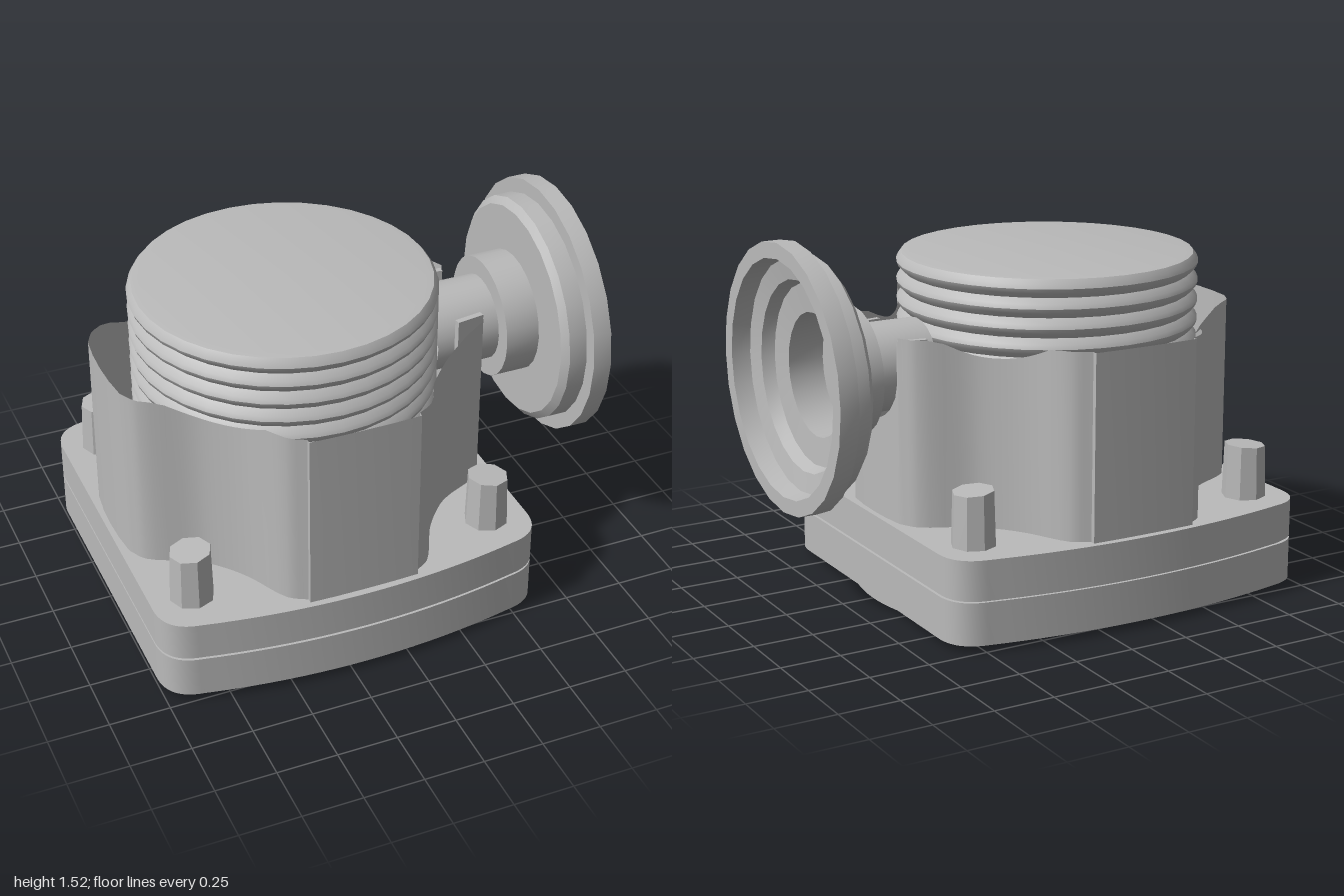
import * as THREE from 'three';
import { toCreasedNormals } from 'three/addons/utils/BufferGeometryUtils.js';

const grey = new THREE.MeshStandardMaterial({ color: 0xbababa, side: THREE.DoubleSide });
grey.name = 'castGrey';

const CX = -0.188; // axis of the housing
const BOLT = [0.64, 0.56]; // bolt offset from that axis

function add(parent, name, geometry, crease = 0.6) {
  const mesh = new THREE.Mesh(toCreasedNormals(geometry, crease), grey);
  mesh.name = name;
  parent.add(mesh);
  return mesh;
}

const lathe = (pts, seg) => new THREE.LatheGeometry(pts.map(p => new THREE.Vector2(...p)), seg);

// Sector of a ring in the plan, used for slots and feet
function arcShape(Type, r0, r1, mid, half) {
  const s = new Type();
  s.absarc(0, 0, r1, mid - half, mid + half, false);
  s.absarc(0, 0, r0, mid + half, mid - half, true);
  s.closePath();
  return s;
}

function extrudeUp(shape, y0, y1) {
  const g = new THREE.ExtrudeGeometry(shape, { depth: y1 - y0, bevelEnabled: false, curveSegments: 20 });
  return g.rotateX(-Math.PI / 2).translate(0, y0, 0);
}

// Square plan with bowed front and back and rounded corners
function plateShape(bore, k = 1) {
  const s = new THREE.Shape();
  const w = 0.812 * k;
  s.moveTo(w, -0.59 * k);
  s.lineTo(w, 0.59 * k);
  s.quadraticCurveTo(w, 0.73 * k, 0.67 * k, 0.75 * k);
  s.quadraticCurveTo(0, 0.89 * k, -0.67 * k, 0.75 * k);
  s.quadraticCurveTo(-w, 0.73 * k, -w, 0.59 * k);
  s.lineTo(-w, -0.59 * k);
  s.quadraticCurveTo(-w, -0.73 * k, -0.67 * k, -0.75 * k);
  s.quadraticCurveTo(0, -0.89 * k, 0.67 * k, -0.75 * k);
  s.quadraticCurveTo(w, -0.73 * k, w, -0.59 * k);
  s.holes.push(new THREE.Path().absarc(0, 0, bore, 0, Math.PI * 2, true));
  return s;
}

// Thin four-lobed wall with scalloped corners, dipping rim and a slot for the pipe
function housingGeometry() {
  const slot = [[0.79, 0], [0.788, 0.06], [0.787, 0.1], [0.782, 0.14], [0.778, 0.18], [0.775, 0.2]];
  const scallop = new THREE.CatmullRomCurve3(
    [[0.775, 0.2], [0.73, 0.275], [0.54, 0.375], [0.45, 0.465], [0.39, 0.55], [0.3, 0.72], [0.23, 0.765]]
      .map(p => new THREE.Vector3(p[0], 0, p[1])));
  const quarter = [
    ...slot.map(p => [...p, true]),
    ...scallop.getPoints(24).map(p => [p.x, p.z, false]),
    [0.23, 0.785, false], [0.12, 0.789, false], [0, 0.79, false],
  ];
  const mirror = (su, sv) => quarter.map(([u, v, s]) => [su * u, sv * v, s && su > 0]);
  const loop = [...mirror(1, 1), ...mirror(-1, 1).reverse(), ...mirror(-1, -1), ...mirror(1, -1).reverse()];
  const pos = [];
  const columns = loop.map(([u, v, inSlot]) => {
    const rim = Math.min(1.135, 1.05 + Math.max(0, Math.hypot(u, v) - 0.62) * 0.75);
    const top = inSlot ? 0.975 - Math.sqrt(Math.max(0, 0.04 - v * v)) : rim;
    return [[u, 0.37, v], [u, top, v]];
  });
  columns.forEach(([a0, a1], i) => {
    const [b0, b1] = columns[(i + 1) % columns.length];
    pos.push(...a0, ...a1, ...b1, ...a0, ...b1, ...b0);
  });
  const g = new THREE.BufferGeometry();
  g.setAttribute('position', new THREE.Float32BufferAttribute(pos, 3));
  g.computeVertexNormals();
  return g;
}

export function createModel() {
  const model = new THREE.Group();
  model.name = 'valveHousing';
  const body = new THREE.Group();
  body.name = 'body';
  body.position.x = CX;
  model.add(body);

  // Base plates with a thin joint between them
  const corners = [[1, 1], [-1, 1], [-1, -1], [1, -1]];
  const lower = plateShape(0.72);
  for (const [sx, sz] of corners) {
    lower.holes.push(new THREE.Path().absarc(sx * BOLT[0], sz * BOLT[1], 0.08, 0, Math.PI * 2, true));
  }
  for (const s of [1, -1]) lower.holes.push(arcShape(THREE.Path, 0.757, 0.785, s * Math.PI / 2, 0.55));
  add(body, 'lowerPlate', extrudeUp(lower, 0.03, 0.205));
  add(body, 'gasket', extrudeUp(plateShape(0.72, 0.985), 0.2, 0.22));
  add(body, 'upperPlate', extrudeUp(plateShape(0.6), 0.215, 0.375));

  // Raised feet along the two sides
  for (const mid of [0, Math.PI]) {
    add(body, 'foot', extrudeUp(arcShape(THREE.Shape, 0.735, 0.8, mid, 0.4), 0.003, 0.05));
  }

  // Stepped bore seen from beneath
  add(body, 'bore', lathe([[0.72, 0.03], [0.705, 0.12], [0.63, 0.12], [0.59, 0.34], [0, 0.34]], 40));

  add(body, 'housingWall', housingGeometry(), 0.5);

  // Cheeks inside the wall on both sides of the pipe
  for (const s of [1, -1]) {
    const cheek = add(body, 'pipeCheek', new THREE.BoxGeometry(0.12, 0.32, 0.025));
    cheek.position.set(0.712, 0.96, s * 0.2);
    cheek.rotation.y = s * 0.15;
  }

  // Ribbed plug
  const ribs = [[0.59, 0.34]];
  for (let i = 0; i < 9; i++) {
    const y = 0.66 + i * 0.08;
    ribs.push([0.59, y], [0.614, y + 0.022], [0.621, y + 0.04], [0.614, y + 0.058]);
  }
  ribs.push([0.6, 1.376], [0.57, 1.38], [0, 1.38]);
  add(body, 'ribbedPlug', lathe(ribs, 36), 0.7).position.x = -0.02;

  // Corner bolts: faceted studs above, hexagon ends below
  for (const [sx, sz] of corners) {
    const stud = new THREE.CylinderGeometry(0.084, 0.091, 0.235, 8);
    const p = stud.attributes.position;
    for (let i = 0; i < p.count; i++) { // slightly sloping top
      if (p.getY(i) > 0) p.setY(i, p.getY(i) - 0.01 - sx * p.getX(i) * 0.08);
    }
    add(body, 'boltStud', stud, 0.3).position.set(sx * BOLT[0], 0.487, sz * BOLT[1]);
    const end = new THREE.CylinderGeometry(0.06, 0.06, 0.19, 6);
    add(body, 'boltEnd', end, 0.3).position.set(sx * BOLT[0], 0.12, sz * BOLT[1]);
  }

  // Side pipe with stepped collar and dished flange, outside then inside
  const pipe = lathe([
    [0.176, 0.4], [0.18, 0.4], [0.18, 0.675], [0.257, 0.675], [0.257, 0.82], [0.45, 0.82],
    [0.48, 0.845], [0.48, 0.922], [0.542, 0.922], [0.542, 1.0], [0.478, 1.0], [0.465, 0.925],
    [0.385, 0.91], [0.365, 0.86], [0.25, 0.85], [0.25, 0.7], [0.176, 0.7], [0.176, 0.4],
  ], 24);
  pipe.rotateZ(-Math.PI / 2);
  add(model, 'sidePipe', pipe).position.set(0, 0.977, -0.003);

  return model;
}
